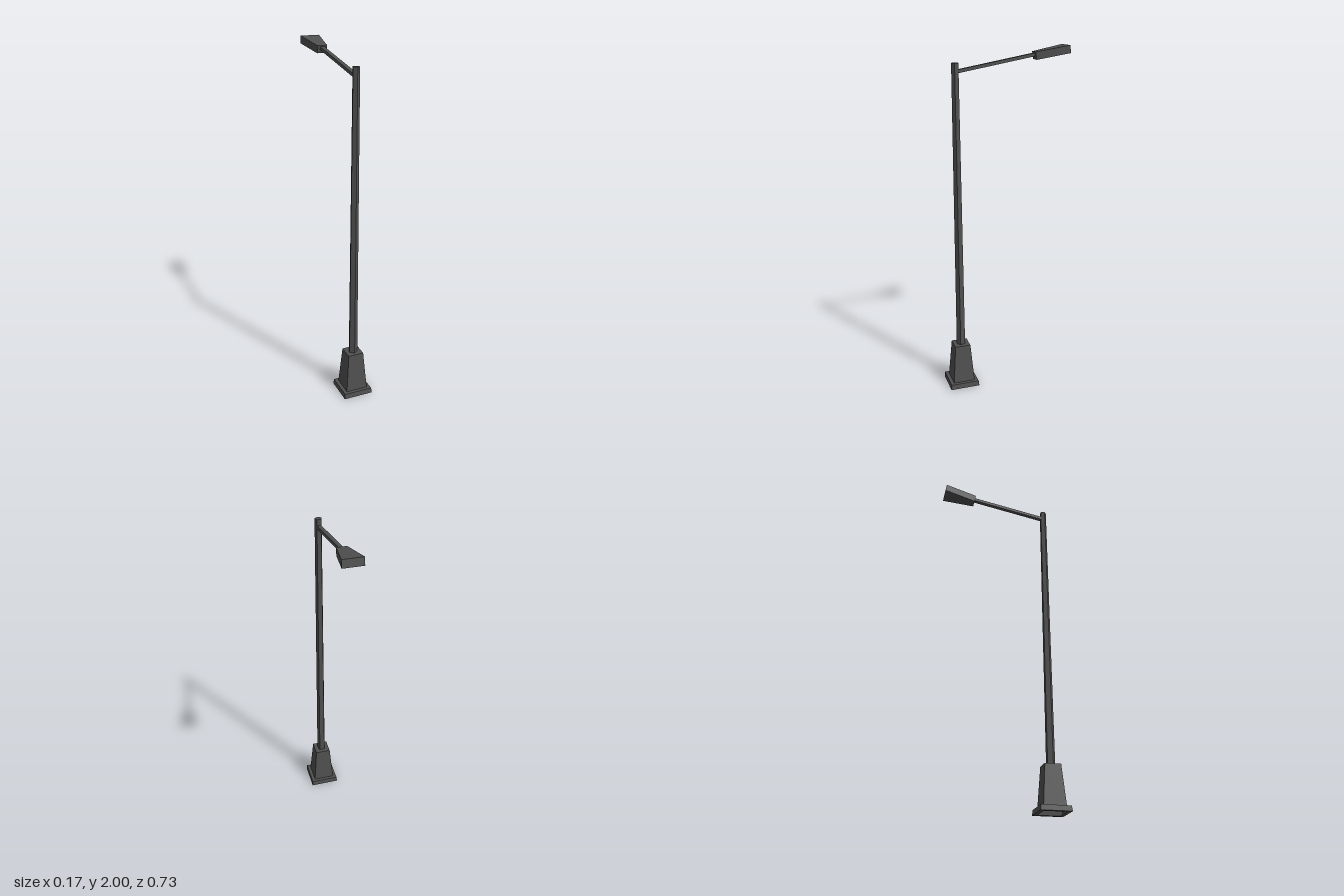
import * as THREE from 'three';

const POLE_Z = 0.277;                        // upright axis
const TILT = THREE.MathUtils.degToRad(10);   // upward slope of arm and lamp

const material = new THREE.MeshStandardMaterial({
  color: 0x505050, flatShading: true, side: THREE.DoubleSide,
});

function addPart(parent, name, geometry, x = 0, y = 0, z = 0) {
  const mesh = new THREE.Mesh(geometry, material);
  mesh.name = name;
  mesh.position.set(x, y, z);
  parent.add(mesh);
  return mesh;
}

// Square-sided turned form; profile is [half width, height]
function squareLathe(profile) {
  const points = profile.map(([w, y]) => new THREE.Vector2(w * Math.SQRT2, y));
  return new THREE.LatheGeometry(points, 4, Math.PI / 4).toNonIndexed();
}

export function createModel() {
  const model = new THREE.Group();
  model.name = 'streetLamp';

  // Stepped square base, hollow underneath
  addPart(model, 'base', squareLathe([
    [0.064, 0], [0.0875, 0], [0.084, 0.03], [0.064, 0.03], [0.046, 0.26], [0, 0.26],
  ]), 0, 0, POLE_Z);

  // Five-sided tapering pole, one edge towards the front
  const poleHeight = 1.67;
  addPart(model, 'pole', new THREE.CylinderGeometry(0.0205, 0.0265, poleHeight, 5),
    0, 0.25 + poleHeight / 2, POLE_Z);

  // Arm and lamp share one tilted frame whose -z axis runs outwards
  const bracket = new THREE.Group();
  bracket.name = 'bracket';
  bracket.position.set(0, 1.876, 0.26);
  bracket.rotation.x = TILT;
  model.add(bracket);

  const armLength = 0.45;
  addPart(bracket, 'arm', new THREE.BoxGeometry(0.0235, 0.018, armLength), 0, 0, -armLength / 2);

  // Lamp head widens towards its outer end
  const lampLength = 0.194;
  const lamp = new THREE.BoxGeometry(1, 0.043, lampLength);
  const pos = lamp.attributes.position;
  for (let i = 0; i < pos.count; i++) {
    const halfWidth = pos.getZ(i) < 0 ? 0.0565 : 0.028;
    pos.setX(i, Math.sign(pos.getX(i)) * halfWidth);
  }
  lamp.computeVertexNormals();
  addPart(bracket, 'lampHead', lamp, 0, -0.006, -0.44 - lampLength / 2);

  return model;
}
